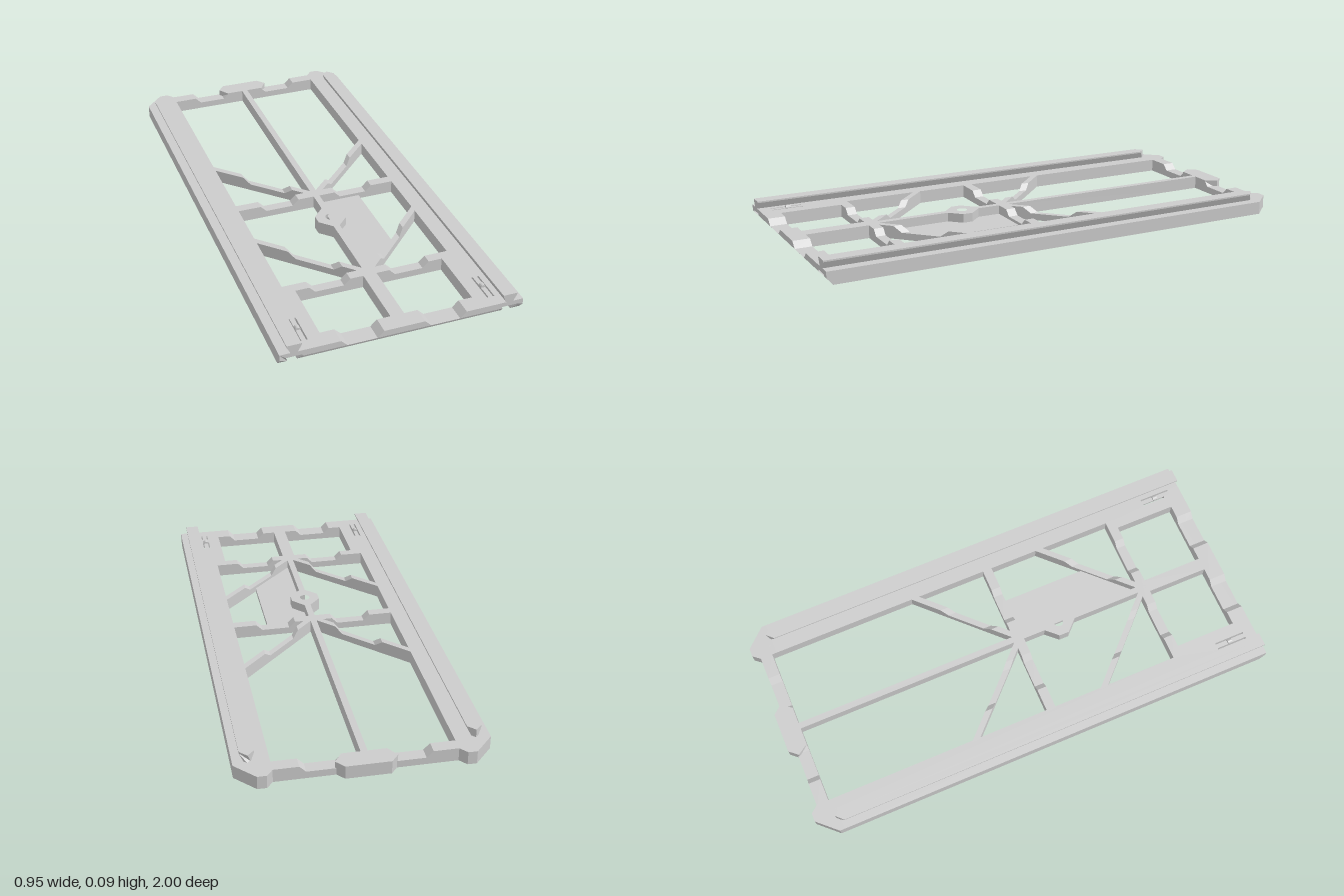
import * as THREE from 'three';

const H = 0.053;      // deck height
const DIP = 0.028;    // height of the lowered stretches of the bars
const material = new THREE.MeshStandardMaterial({ color: 0xcccccc, flatShading: true });

const toShape = (pts) => new THREE.Shape(pts.map(([x, y]) => new THREE.Vector2(x, y)));

// Plan outline given as [x, z], raised from y0 to y1
function slab(pts, y0, y1, holes = []) {
  const flip = (list) => list.map(([x, z]) => [x, -z]);
  const shape = toShape(flip(pts));
  for (const hole of holes) shape.holes.push(toShape(flip(hole)));
  const g = new THREE.ExtrudeGeometry(shape, { depth: y1 - y0, bevelEnabled: false });
  return g.rotateX(-Math.PI / 2).translate(0, y0, 0);
}

// Upright section given as [x, y], run from z0 to z1
function run(pts, z0, z1) {
  const g = new THREE.ExtrudeGeometry(toShape(pts), { depth: z1 - z0, bevelEnabled: false });
  return g.translate(0, 0, z0);
}

// Move every vertex by a rule
function warp(g, rule) {
  const p = g.attributes.position, v = new THREE.Vector3();
  for (let i = 0; i < p.count; i++) {
    v.fromBufferAttribute(p, i);
    rule(v);
    p.setXYZ(i, v.x, v.y, v.z);
  }
  g.computeVertexNormals();
  return g;
}

const rect = (x0, x1, z0, z1) => [[x0, z0], [x1, z0], [x1, z1], [x0, z1]];

// Upper edge of half a bar, from the centre outwards, with its lowered stretch
const halfTop = (end) => [[0.08, H], [0.105, DIP], [0.22, DIP], [0.245, H], [end, H]];

export function createModel() {
  const model = new THREE.Group();
  const add = (name, geometry) => {
    const mesh = new THREE.Mesh(geometry, material);
    mesh.name = name;
    model.add(mesh);
  };

  // Crossbars with two lowered stretches
  const right = halfTop(0.345);
  const left = right.map(([x, y]) => [-x, y]).reverse();
  const barSection = [[-0.345, 0], ...left, ...right, [0.345, 0]];
  for (const [name, z0, z1] of [['backBar', -0.97, -0.92], ['middleBar', 0.045, 0.085], ['lowerBar', 0.63, 0.67]]) {
    add(name, run(barSection, z0, z1));
  }

  // Front bar: undercut base with raised blocks on it
  const base = new THREE.ExtrudeGeometry(
    toShape([[0.93, 0], [0.976, 0], [0.98, 0.01], [1, DIP], [0.93, DIP]]),
    { depth: 0.78, bevelEnabled: false });
  add('frontBarBase', base.rotateY(-Math.PI / 2).translate(0.39, 0, 0));
  add('frontBarBlock', run([[-0.105, DIP], [0.105, DIP], [0.08, H], [-0.08, H]], 0.93, 1));

  // Centre spine, hub with hole, and back block
  add('backSpine', slab(rect(-0.013, 0.013, -0.925, 0.05), 0, H));
  add('middleSpine', slab(rect(-0.013, 0.013, 0.08, 0.19), 0, H));
  add('lowerSpine', slab(rect(-0.013, 0.013, 0.31, 0.635), 0, H));
  add('frontSpine', slab(rect(-0.027, 0.027, 0.665, 0.935), 0, H));
  const hole = [];
  for (let i = 0; i < 24; i++) {
    const a = (i / 24) * Math.PI * 2;
    hole.push([0.021 * Math.cos(a), 0.25 + 0.021 * Math.sin(a)]);
  }
  add('hub', slab([[-0.013, 0.18], [0.013, 0.18], [0.06, 0.23], [0.06, 0.272], [0.013, 0.32],
    [-0.013, 0.32], [-0.06, 0.272], [-0.06, 0.23]], 0, H, [hole]));
  add('backBlock', slab([[-0.115, -0.965], [-0.085, -1], [0.085, -1], [0.115, -0.965], [0.085, -0.92], [-0.085, -0.92]], 0, H));

  // Thin floor panel beside the spine
  add('floorPanel', slab([[0.01, 0.08], [0.19, 0.08], [0.19, 0.46], [0.01, 0.635]], 0, 0.016));

  for (const s of [1, -1]) {
    const side = s > 0 ? 'left' : 'right';
    const m = (pts) => pts.map(([x, y]) => [s * x, y]);

    // Diagonal braces, sheared so that they run outwards and back
    for (const z of [0.07, 0.65]) {
      const g = run(m([[0, 0], [0, H], ...halfTop(0.345), [0.345, 0]]), z - 0.017, z + 0.017);
      add(side + 'Brace', warp(g, (v) => { v.z -= Math.abs(v.x); }));
    }

    // Side beam with a dovetail groove below and an undercut front end
    const beam = run(m([[0.384, 0], [0.384, DIP], [0.384, H], [0.475, H], [0.475, DIP], [0.475, 0],
      [0.438, 0], [0.448, DIP], [0.451, 0.035], [0.389, 0.035], [0.392, DIP], [0.402, 0]]), -0.9, 1);
    add(side + 'Beam', warp(beam, (v) => {
      if (v.z > 0.9 && v.y < DIP) v.z -= 0.024 * (1 - v.y / DIP);
    }));

    // Inner flange, widened at the front and slit around the catch
    add(side + 'Flange', slab(m([[0.34, -0.92], [0.385, -0.92], [0.385, 0.97], [0.3, 0.97], [0.3, 0.65], [0.34, 0.65]]),
      0, H, [m(rect(0.352, 0.358, 0.82, 0.95)), m(rect(0.376, 0.382, 0.82, 0.95))]));
    add(side + 'FrontBlock', run(m([[0.22, DIP], [0.39, DIP], [0.39, H], [0.245, H]]), 0.965, 1));
    add(side + 'FrontBlockInner', run(m([[0.22, DIP], [0.305, DIP], [0.305, H], [0.245, H]]), 0.93, 0.97));

    // Catch bump
    const bump = new THREE.CylinderGeometry(0.01, 0.01, 0.02, 12);
    add(side + 'Catch', bump.rotateX(Math.PI / 2).translate(s * 0.367, H, 0.88));

    // Chamfered back corner
    add(side + 'BackCorner', slab(m([[0.34, -0.9], [0.34, -0.97], [0.365, -1], [0.4, -1], [0.475, -0.92], [0.475, -0.9]]), 0, H));

    // Flared rail on top with a pointed back end
    const rail = run(m([[0.407, H - 0.002], [0.42, H - 0.002], [0.433, H - 0.002],
      [0.448, 0.08], [0.448, 0.086], [0.42, 0.086], [0.392, 0.086], [0.392, 0.08]]), -0.915, 1);
    add(side + 'Rail', warp(rail, (v) => {
      if (v.z < 0) v.z += Math.abs(Math.abs(v.x) - 0.42);
    }));
  }
  return model;
}
